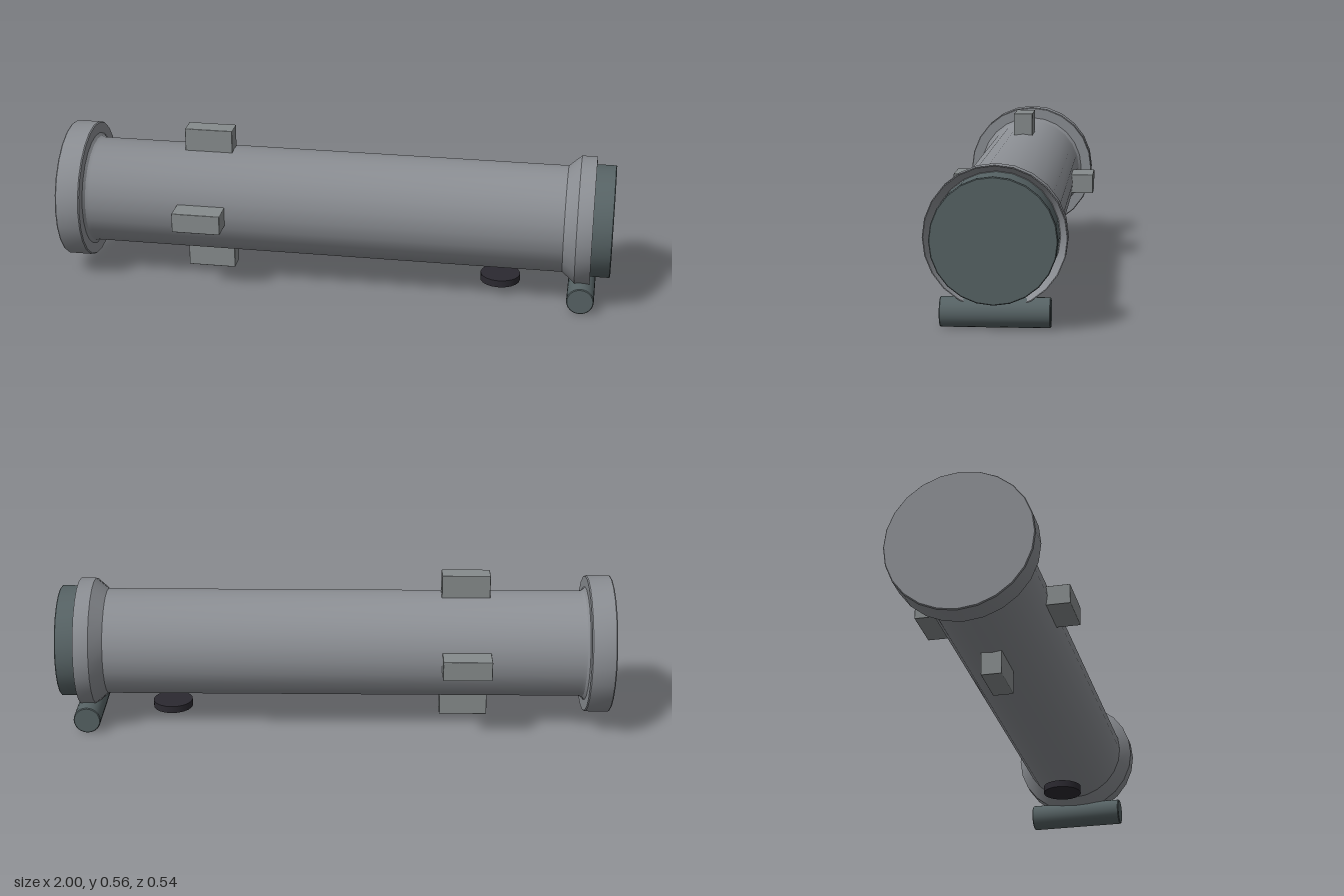
import * as THREE from 'three';
import { toCreasedNormals } from 'three/addons/utils/BufferGeometryUtils.js';
import { RoundedBoxGeometry } from 'three/addons/geometries/RoundedBoxGeometry.js';

const AXIS_Y = 0.293; // height of the tube's centre line

function material(name, color) {
  const m = new THREE.MeshStandardMaterial({ color });
  m.name = name;
  return m;
}

// Turned part along x from [radius, x] pairs, running from back to front
function turned(points, segments = 24) {
  const lathe = new THREE.LatheGeometry(points.map(([r, x]) => new THREE.Vector2(r, x)), segments);
  lathe.rotateZ(-Math.PI / 2);
  return toCreasedNormals(lathe, 0.5);
}

export function createModel() {
  const model = new THREE.Group();
  model.name = 'tube';
  const grey = material('tubeGrey', 0x8a8d92);
  const lugGrey = material('lugGrey', 0x868b8c);
  const slate = material('slate', 0x566264);
  const black = material('nearBlack', 0x2b2930);

  function add(name, geometry, mat, x = 0, y = 0, z = 0) {
    const mesh = new THREE.Mesh(geometry, mat);
    mesh.name = name;
    mesh.position.set(x, y, z);
    model.add(mesh);
    return mesh;
  }

  // Tube with a rear flange, a small fillet and a flared, recessed front collar
  add('body', turned([
    [0, -1], [0.247, -1], [0.25, -0.996], [0.25, -0.914], [0.247, -0.91],
    [0.208, -0.91], [0.198, -0.902], [0.193, -0.89],
    [0.193, 0.83], [0.231, 0.875], [0.231, 0.93], [0.228, 0.93],
    [0.205, 0.87], [0, 0.87],
  ]), grey, 0, AXIS_Y);

  // Front cap seated in the collar
  add('frontCap', turned([
    [0, 0.865], [0.203, 0.865], [0.203, 0.997], [0.2, 1], [0, 1],
  ]), slate, 0, AXIS_Y);

  // Four lugs around the tube
  for (let i = 0; i < 4; i++) {
    const a = i * Math.PI / 2;
    const r = 0.226;
    const lug = add('lug', new RoundedBoxGeometry(0.175, 0.092, 0.072, 1, 0.003), lugGrey,
      -0.4725, AXIS_Y + Math.cos(a) * r, Math.sin(a) * r);
    lug.rotation.x = a;
  }

  // Cross bar under the collar
  const bar = turned([
    [0, -0.177], [0.046, -0.177], [0.049, -0.174], [0.049, 0.174], [0.046, 0.177], [0, 0.177],
  ]);
  bar.rotateY(-Math.PI / 2);
  add('crossBar', bar, slate, 0.9, 0.05);

  // Small disc below the tube
  add('disc', new THREE.CylinderGeometry(0.0725, 0.0725, 0.026, 20), black, 0.603, 0.047);

  return model;
}
